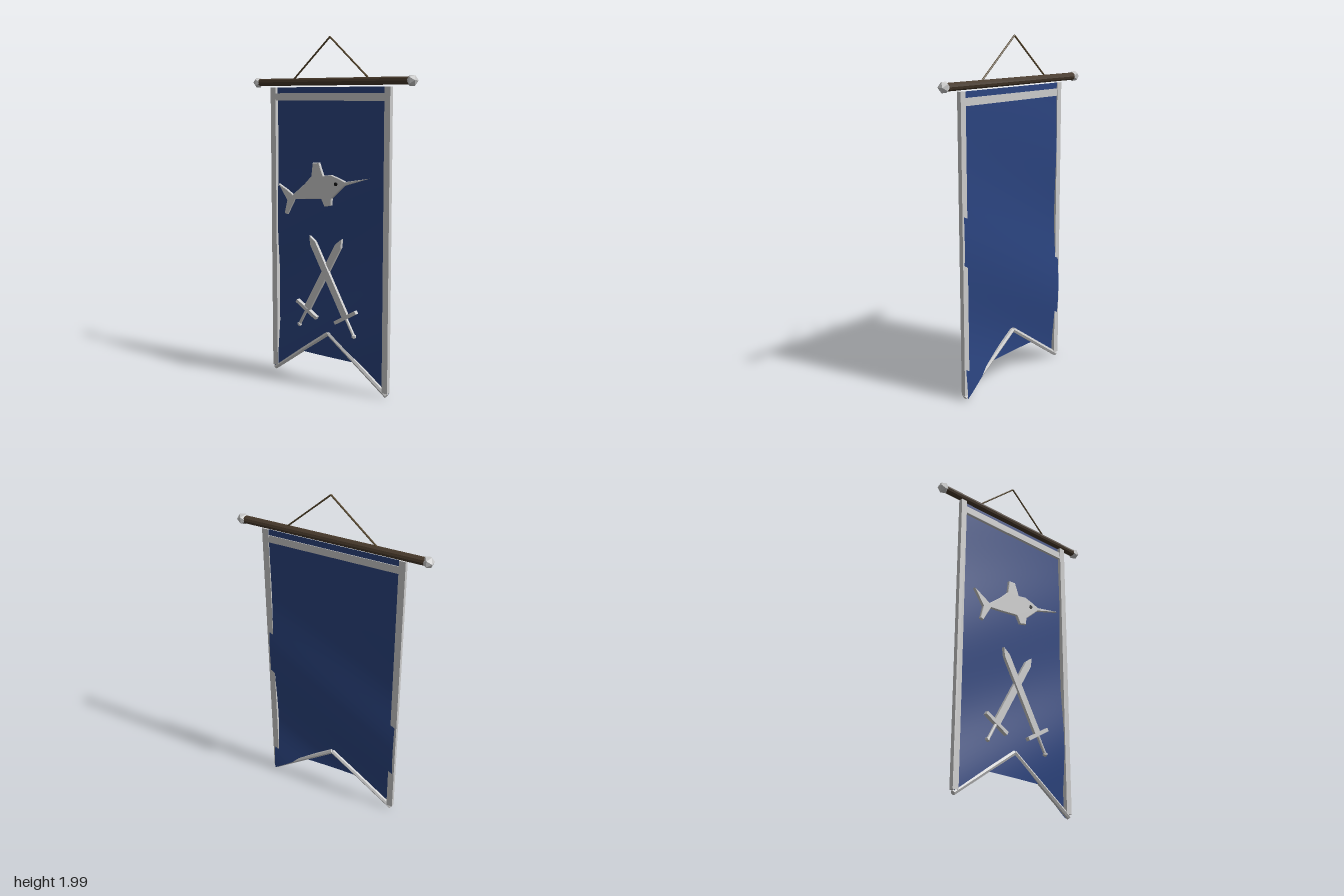
import * as THREE from 'three';

const mat = (color, extra = {}) => {
  const m = new THREE.MeshStandardMaterial({ color });
  return Object.assign(m, extra);
};
const silver = mat(0xcccccc, { flatShading: true });
const blue = mat(0x2b4480, { side: THREE.DoubleSide });
const wood = mat(0x46382a, { flatShading: true });
const rope = mat(0x5a4a30, { flatShading: true });
const black = mat(0x151515, { flatShading: true });

function add(parent, name, geometry, material, x = 0, y = 0, z = 0) {
  const mesh = new THREE.Mesh(geometry, material);
  mesh.name = name;
  mesh.position.set(x, y, z);
  parent.add(mesh);
  return mesh;
}

// Straight rod between two points
function rod(parent, name, a, b, radius, sides, material) {
  const from = new THREE.Vector3(...a), to = new THREE.Vector3(...b);
  const dir = to.clone().sub(from);
  const mesh = add(parent, name, new THREE.CylinderGeometry(radius, radius, dir.length(), sides), material);
  mesh.position.copy(from).lerp(to, 0.5);
  mesh.quaternion.setFromUnitVectors(new THREE.Vector3(0, 1, 0), dir.normalize());
  return mesh;
}

// Flat plate with bevelled edges, centred on z = 0
function plate(points, depth, bevel) {
  const shape = new THREE.Shape(points.map(([x, y]) => new THREE.Vector2(x, y)));
  const core = depth - 2 * bevel;
  const g = new THREE.ExtrudeGeometry(shape, {
    depth: core, bevelEnabled: bevel > 0, bevelThickness: bevel, bevelSize: bevel,
    bevelOffset: -bevel, bevelSegments: 1,
  });
  return g.translate(0, 0, -core / 2);
}

// Gently waving cloth with a cut lower edge
function clothGeometry() {
  const g = new THREE.PlaneGeometry(0.82, 1, 42, 48);
  const p = g.attributes.position;
  for (let i = 0; i < p.count; i++) {
    const x = p.getX(i), t = p.getY(i) + 0.5;
    const bottom = Math.min(0.16, 0.3 - 0.7 * Math.abs(x));
    const y = bottom + t * (1.72 - bottom);
    const swing = 0.018 * (1 - y / 1.72);
    const phase = 2 * Math.PI * (y - 0.95) / 0.95 + Math.PI * (0.42 - x) / 0.84;
    p.setXYZ(i, x, y, -0.013 - swing * Math.cos(phase));
  }
  g.computeVertexNormals();
  return g;
}

// Sword pointing up, its origin at the pommel
function sword() {
  const s = new THREE.Group();
  const w = 0.021;
  add(s, 'blade', plate([[-w, 0.12], [w, 0.12], [w, 0.585], [0, 0.635], [-w, 0.585]], 0.018, 0), silver);
  add(s, 'guard', new THREE.BoxGeometry(0.17, 0.02, 0.024), silver, 0, 0.12, 0);
  add(s, 'grip', new THREE.CylinderGeometry(0.009, 0.009, 0.12, 8), silver, 0, 0.06, 0);
  add(s, 'pommel', new THREE.IcosahedronGeometry(0.015, 0), silver, 0, 0.004, 0);
  return s;
}

export function createModel() {
  const model = new THREE.Group();
  model.name = 'banner';
  const poleZ = -0.018;

  // Pole, finials and hanging cord
  rod(model, 'pole', [-0.54, 1.75, poleZ], [0.54, 1.75, poleZ], 0.022, 10, wood);
  for (const s of [-1, 1]) {
    add(model, 'finial', new THREE.IcosahedronGeometry(0.033, 0), silver, s * 0.54, 1.75, poleZ);
    rod(model, 'cord', [s * 0.27, 1.76, poleZ], [0, 1.995, poleZ], 0.005, 6, rope);
  }

  // Cloth and its borders
  add(model, 'cloth', clothGeometry(), blue);
  add(model, 'topBorder', new THREE.BoxGeometry(0.82, 0.042, 0.022), silver, 0, 1.665, -0.006);
  for (const s of [-1, 1]) {
    add(model, 'sideBorder', new THREE.BoxGeometry(0.037, 1.69, 0.026), silver, s * 0.403, 0.875, -0.005);
    rod(model, 'bottomBorder', [s * 0.41, 0.014, -0.005], [0, 0.3, -0.005], 0.014, 6, silver);
  }

  // Billfish emblem
  const fish = new THREE.Group();
  fish.name = 'fish';
  fish.position.z = 0.032;
  add(fish, 'fishBody', plate([
    [-0.338, 1.16], [-0.275, 1.13], [-0.228, 1.102], [-0.138, 1.172], [-0.09, 1.218], [-0.08, 1.295],
    [-0.035, 1.298], [-0.005, 1.225], [0.05, 1.233], [0.1, 1.218], [0.15, 1.2], [0.31, 1.228], [0.145, 1.178],
    [0.09, 1.13], [0.055, 1.1], [0.053, 1.06], [0.005, 1.05], [-0.02, 1.094], [-0.138, 1.082],
    [-0.217, 1.076], [-0.272, 0.983], [-0.292, 0.99], [-0.272, 1.067],
  ], 0.018, 0.003), silver);
  const eye = add(fish, 'eye', new THREE.CylinderGeometry(0.011, 0.011, 0.026, 10), black, 0.087, 1.184, 0);
  eye.rotation.x = Math.PI / 2;
  model.add(fish);

  // Crossed swords, one lying over the other
  for (const s of [-1, 1]) {
    const blade = sword();
    blade.name = s > 0 ? 'frontSword' : 'rearSword';
    blade.position.set(s * 0.206, 0.322, s > 0 ? 0.024 : 0.012);
    blade.rotation.z = s * Math.PI / 6;
    model.add(blade);
  }
  return model;
}
